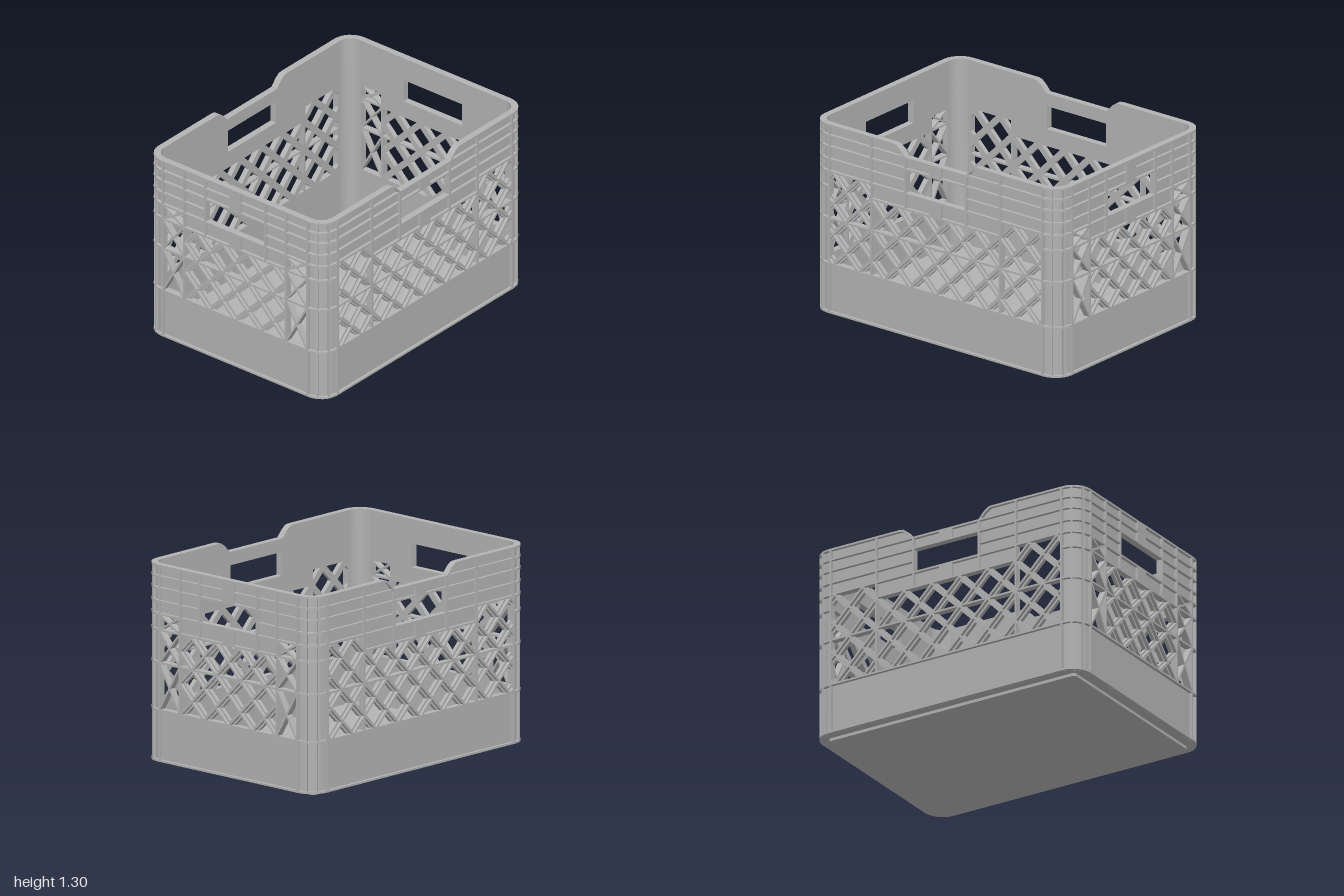
import * as THREE from 'three';
import { mergeGeometries, toCreasedNormals } from 'three/addons/utils/BufferGeometryUtils.js';

const plastic = new THREE.MeshStandardMaterial({ color: 0xb2b2b2 });
plastic.name = 'grey plastic';

const HX = 0.6, HZ = 0.87, R = 0.13;          // corner arc centres and outer radius
const INNER = -0.045, PANEL = -0.02, RIB = 0; // depths measured from the outer skin
const W = 0.013;                              // rib width
const LEVELS = [0.027, 0.355, 0.662, 0.875, 0.978, 1.06, 1.145, 1.22];
const TOP = 1.297;

const polygon = (pts) => new THREE.Shape(pts.map(([x, y]) => new THREE.Vector2(x, y)));
const extrude = (shape, depth) =>
  new THREE.ExtrudeGeometry(shape, { depth, bevelEnabled: false, curveSegments: 4 });

// Keep the part of a polygon inside the rectangle [u0,u1] x [y0,y1]
function clip(pts, [u0, u1, y0, y1]) {
  for (const [axis, limit, sign] of [[0, u0, 1], [0, u1, -1], [1, y0, 1], [1, y1, -1]]) {
    const out = [];
    pts.forEach((a, i) => {
      const b = pts[(i + 1) % pts.length];
      const da = (a[axis] - limit) * sign, db = (b[axis] - limit) * sign;
      if (da >= 0) out.push(a);
      if (da * db < 0) {
        const t = da / (da - db);
        out.push([a[0] + (b[0] - a[0]) * t, a[1] + (b[1] - a[1]) * t]);
      }
    });
    pts = out;
  }
  return pts;
}

// Straight strip between two points
function strip(ax, ay, bx, by, width) {
  const l = Math.hypot(bx - ax, by - ay);
  const nx = (-(by - ay) / l) * width / 2, ny = ((bx - ax) / l) * width / 2;
  return [[ax - nx, ay - ny], [bx - nx, by - ny], [bx + nx, by + ny], [ax + nx, ay + ny]];
}

function makeWall(name, dist, half, isSide) {
  const parts = {};
  const add = (part, pts, d0, d1, hole) => {
    if (pts.length < 3) return;
    const s = polygon(pts);
    if (hole) s.holes.push(polygon(hole));
    (parts[part] ??= []).push(extrude(s, d1 - d0).translate(0, 0, dist + d0));
  };
  const rect = (u0, u1, y0, y1) => [[u0, y0], [u1, y0], [u1, y1], [u0, y1]];
  const step = isSide ? 0.52 : 0.415, grip = 0.245, edge = half - 0.01;

  // Rim line: level at the ends, dropped around the hand grips of the long sides
  const rim = isSide
    ? [[half, TOP], [0.34, TOP], [0.315, 1.292], [0.285, 1.27], [grip, 1.225]]
    : [[half, TOP]];
  const top = [...rim, ...rim.map(([u, y]) => [-u, y]).reverse()];
  const under = top.map(([u, y]) => [u + Math.sign(u) * (Math.abs(u) < 0.33 ? 0.006 : 0), y - W]);

  // Solid panels
  add('lowerPanel', rect(-half, half, 0.02, 0.355), INNER, PANEL);
  add('upperPanel', [[-half, 0.978], [-step, 0.978], [-step, 0.875], [step, 0.875],
    [step, 0.978], [half, 0.978], ...top], INNER, PANEL, rect(-grip, grip, 0.982, 1.14));
  const blockTop = isSide ? 1.225 : TOP;
  add('gripBlock', rect(-0.048, 0.048, 0.87, 0.982), PANEL, RIB);
  add('gripBlock', rect(-0.048, 0.048, 1.14, blockTop), PANEL, RIB);

  // Rim
  add('rim', [...top, ...under.reverse()], INNER, RIB);

  // Horizontal ribs
  for (const y of LEVELS) {
    const outer = isSide && y === 0.875 ? step : half;
    const split = y === 1.06 || (isSide && y === 1.22);
    const spans = split ? [[-outer, -grip], [grip, outer]] : [[-outer, outer]];
    for (const [a, b] of spans) add('horizontalRibs', rect(a, b, y - W / 2, y + W / 2), INNER, RIB);
  }

  // Vertical ribs
  for (const s of [-1, 1]) {
    const rib = (u, y0, y1) => add('verticalRibs', rect(s * u - W / 2, s * u + W / 2, y0, y1), INNER, RIB);
    rib(edge, 0.02, TOP);
    rib(step, 0.355, TOP);
    rib(grip, 0.875, isSide ? 1.22 : TOP);
  }

  // Diagonal lattice: wide inner strut with a narrow rib on its outer face
  const P = 0.207;
  const regions = [[-step, step, 0.355, 0.875]];
  if (isSide) regions.push([-edge, -step, 0.355, 0.978], [step, edge, 0.355, 0.978]);
  for (const region of regions) {
    for (let k = -9; k <= 9; k++) {
      for (const s of [-1, 1]) {
        const line = (w) => clip(strip(k * P - s * 0.1, 0.25, k * P + s * 0.75, 1.1, w), region);
        add('lattice', line(0.042), INNER, PANEL);
        add('lattice', line(0.014), PANEL, RIB);
      }
    }
  }

  // Slim crossed braces beside the lattice on the short walls
  if (!isSide) {
    for (const s of [-1, 1]) {
      for (const [y0, y1] of [[0.355, 0.662], [0.662, 0.875], [0.875, 0.978]]) {
        add('crossBraces', strip(s * step, y0, s * edge, y1, W), INNER, RIB);
        add('crossBraces', strip(s * step, y1, s * edge, y0, W), INNER, RIB);
      }
    }
  }

  const wall = new THREE.Group();
  wall.name = name;
  for (const [part, geos] of Object.entries(parts)) {
    const mesh = new THREE.Mesh(mergeGeometries(geos), plastic);
    mesh.name = part;
    wall.add(mesh);
  }
  return wall;
}

// Curved piece of a corner, between two radii, two angles and two heights
function arcBand(r0, r1, a0, a1, y0, y1, segs) {
  const pts = [];
  for (let i = 0; i <= segs; i++) {
    const a = a0 + (a1 - a0) * i / segs;
    pts.push([Math.cos(a) * r1, Math.sin(a) * r1]);
  }
  for (let i = segs; i >= 0; i--) {
    const a = a0 + (a1 - a0) * i / segs;
    pts.push([Math.cos(a) * r0, Math.sin(a) * r0]);
  }
  const g = extrude(polygon(pts), y1 - y0).rotateX(-Math.PI / 2).translate(0, y0, 0);
  return toCreasedNormals(g, 0.7);
}

function makeCorner(name, quarter) {
  const a = quarter * Math.PI / 2, b = a + Math.PI / 2;
  const post = [arcBand(R + INNER, R + PANEL, a, b, 0.02, TOP, 6)];
  const ribs = [...LEVELS, TOP - W / 2].map((y) =>
    arcBand(R + INNER, R + RIB, a, b, y - W / 2, y + W / 2, 6));
  for (const t of [0.3, 0.7]) {
    const m = a + t * Math.PI / 2;
    ribs.push(arcBand(R + INNER, R + RIB, m - 0.05, m + 0.05, 0.02, TOP, 1));
  }
  const corner = new THREE.Group();
  corner.name = name;
  for (const [part, geos] of [['cornerPost', post], ['cornerRibs', ribs]]) {
    const mesh = new THREE.Mesh(mergeGeometries(geos), plastic);
    mesh.name = part;
    corner.add(mesh);
  }
  const mid = (a + b) / 2;
  corner.position.set(Math.sign(Math.cos(mid)) * HX, 0, -Math.sign(Math.sin(mid)) * HZ);
  return corner;
}

// Rounded slab for the floor
function makeSlab(name, hx, hz, r, y0, y1) {
  const s = new THREE.Shape();
  s.absarc(hx - r, hz - r, r, 0, Math.PI / 2);
  s.absarc(r - hx, hz - r, r, Math.PI / 2, Math.PI);
  s.absarc(r - hx, r - hz, r, Math.PI, Math.PI * 1.5);
  s.absarc(hx - r, r - hz, r, Math.PI * 1.5, Math.PI * 2);
  const mesh = new THREE.Mesh(extrude(s, y1 - y0).rotateX(-Math.PI / 2).translate(0, y0, 0), plastic);
  mesh.name = name;
  return mesh;
}

export function createModel() {
  const crate = new THREE.Group();
  crate.name = 'crate';
  const walls = [['frontWall', 0, false], ['leftWall', 1, true], ['backWall', 2, false], ['rightWall', 3, true]];
  for (const [name, turn, isSide] of walls) {
    const wall = makeWall(name, isSide ? HX + R : HZ + R, isSide ? HZ : HX, isSide);
    wall.rotation.y = turn * Math.PI / 2;
    crate.add(wall);
  }
  ['backLeftCorner', 'backRightCorner', 'frontRightCorner', 'frontLeftCorner']
    .forEach((name, q) => crate.add(makeCorner(name, q)));
  crate.add(makeSlab('floor', 0.7, 0.97, 0.1, 0.02, 0.045));
  crate.add(makeSlab('foot', 0.66, 0.92, 0.02, 0, 0.02));
  return crate;
}
